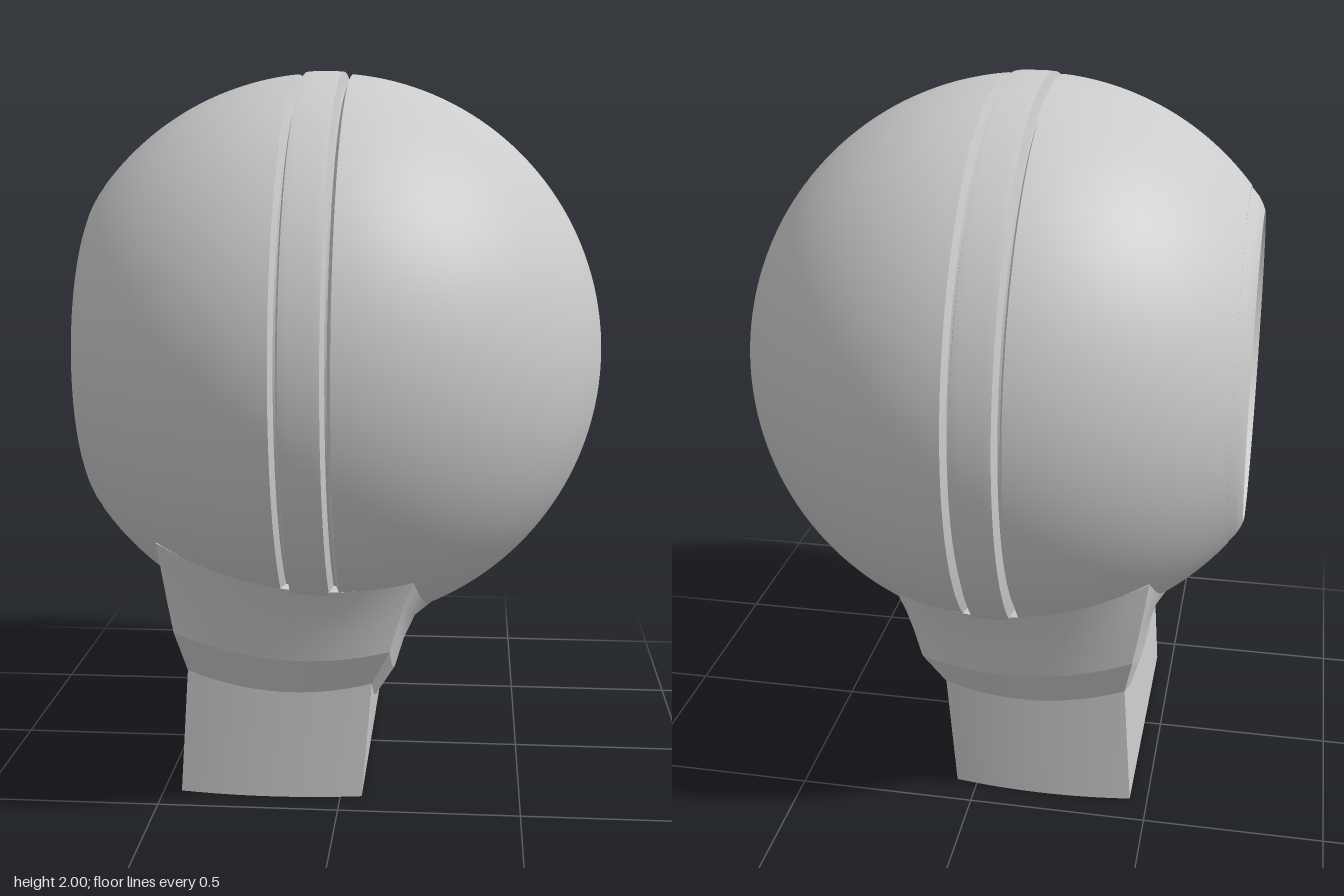
import * as THREE from 'three';
import { toCreasedNormals } from 'three/addons/utils/BufferGeometryUtils.js';

const CX = -0.07, CY = 1.205, R = 0.79;
const material = new THREE.MeshStandardMaterial({ color: 0xcccccc, side: THREE.DoubleSide });

// Surface of revolution about the x axis, from [x, radius] points
function turned(name, points) {
  const geo = new THREE.LatheGeometry(points.map(([x, r]) => new THREE.Vector2(r, x)), 128);
  geo.rotateZ(-Math.PI / 2);
  const mesh = new THREE.Mesh(geo, material);
  mesh.name = name;
  mesh.position.y = CY;
  return mesh;
}

// Points along the spherical body between two x stations
function sphereArc(x0, x1, n) {
  const a0 = Math.acos((x0 - CX) / R), a1 = Math.acos(Math.min(1, (x1 - CX) / R));
  return Array.from({ length: n + 1 }, (_, i) => {
    const a = a0 + (a1 - a0) * i / n;
    return [CX + R * Math.cos(a), Math.max(0, R * Math.sin(a))];
  });
}

// Concave dish, from its centre out to the rim
function dishArc(rimX, rimR, depth, n) {
  const rad = (rimR * rimR + depth * depth) / (2 * depth), half = Math.asin(rimR / rad);
  return Array.from({ length: n + 1 }, (_, i) => {
    const a = half * i / n;
    return [rimX + depth - rad * (1 - Math.cos(a)), rad * Math.sin(a)];
  });
}

// Four-sided ring with bowed sides: mid points of each side plus corners
const STEPS = 16;
function ring({ right, left, end, cornerR, cornerL }) {
  const v = (x, y, z) => new THREE.Vector3(x, y, z);
  const [rx, ry, rz] = cornerR, [lx, ly, lz] = cornerL;
  const corners = [v(rx, ry, rz), v(rx, ry, -rz), v(lx, ly, -lz), v(lx, ly, lz)];
  const endX = (rx + lx) / 2;
  const mids = [v(right[0], right[1], 0), v(endX, end[1], -end[0]),
    v(left[0], left[1], 0), v(endX, end[1], end[0])];
  const pts = [];
  corners.forEach((a, k) => {
    const b = corners[(k + 1) % 4];
    const bow = mids[k].clone().sub(a.clone().add(b).multiplyScalar(0.5));
    for (let i = 0; i < STEPS; i++) {
      const t = i / STEPS, s = 2 * t - 1;
      pts.push(a.clone().lerp(b, t).addScaledVector(bow, 1 - s * s));
    }
  });
  return pts;
}

// Skin between successive rings, optionally closed at the bottom
function loft(name, rings, capped) {
  const pos = [], n = rings[0].length;
  const tri = (...p) => p.forEach(q => pos.push(q.x, q.y, q.z));
  for (let k = 0; k + 1 < rings.length; k++) {
    const a = rings[k], b = rings[k + 1];
    for (let i = 0; i < n; i++) {
      const j = (i + 1) % n;
      tri(a[i], a[j], b[j]);
      tri(a[i], b[j], b[i]);
    }
  }
  if (capped) {
    const a = rings[0], c = new THREE.Vector3((a[0].x + a[2 * STEPS].x) / 2, a[0].y, 0);
    for (let i = 0; i < n; i++) tri(c, a[(i + 1) % n], a[i]);
  }
  const geo = new THREE.BufferGeometry();
  geo.setAttribute('position', new THREE.Float32BufferAttribute(pos, 3));
  const mesh = new THREE.Mesh(toCreasedNormals(geo, 0.7), material);
  mesh.name = name;
  return mesh;
}

export function createModel() {
  const model = new THREE.Group();
  model.name = 'ballOnStem';

  // Ball with a dished left end and a raised band between two grooves
  const ball = new THREE.Group();
  ball.name = 'ball';
  ball.add(
    turned('dish', dishArc(-0.72, 0.435, 0.2, 20)),
    turned('dishRim', [[-0.72, 0.435], [-0.712, 0.455], [-0.7, 0.475], [-0.68, 0.498]]),
    turned('dishSideShell', sphereArc(-0.68, -0.146, 28)),
    turned('grooveWallA', [[-0.146, 0.786], [-0.136, 0.755]]),
    turned('grooveFloorA', [[-0.136, 0.755], [-0.13, 0.755]]),
    turned('grooveWallB', [[-0.13, 0.755], [-0.121, 0.793]]),
    turned('band', [[-0.121, 0.793], [-0.1, 0.795], [-0.04, 0.795], [-0.018, 0.793]]),
    turned('grooveWallC', [[-0.018, 0.793], [-0.009, 0.755]]),
    turned('grooveFloorB', [[-0.009, 0.755], [-0.003, 0.755]]),
    turned('grooveWallD', [[-0.003, 0.755], [0.008, 0.786]]),
    turned('domeShell', sphereArc(0.008, 0.72, 40)),
  );
  model.add(ball);

  // Stem: leaning block, flared collar, then a fillet running into the ball
  const foot = ring({ right: [0.06, 0], left: [-0.45, 0], end: [0.425, 0],
    cornerR: [0.06, 0, 0.405], cornerL: [-0.45, 0, 0.405] });
  const collarLow = ring({ right: [0.085, 0.19], left: [-0.43, 0.26], end: [0.425, 0.31],
    cornerR: [0.088, 0.335], cornerL: [-0.425, 0.36], ...{ cornerR: [0.088, 0.335, 0.41], cornerL: [-0.425, 0.36, 0.41] } });
  const collarTop = ring({ right: [0.14, 0.28], left: [-0.455, 0.35], end: [0.49, 0.425],
    cornerR: [0.14, 0.45, 0.475], cornerL: [-0.45, 0.49, 0.475] });
  const filletLow = ring({ right: [0.165, 0.365], left: [-0.464, 0.43], end: [0.505, 0.5],
    cornerR: [0.162, 0.53, 0.478], cornerL: [-0.464, 0.57, 0.478] });
  const filletMid = ring({ right: [0.2, 0.44], left: [-0.49, 0.51], end: [0.525, 0.575],
    cornerR: [0.182, 0.595, 0.484], cornerL: [-0.478, 0.66, 0.483] });
  const filletTop = ring({ right: [0.26, 0.487], left: [-0.53, 0.563], end: [0.553, 0.645],
    cornerR: [0.205, 0.652, 0.492], cornerL: [-0.49, 0.745, 0.49] });
  const inside = ring({ right: [0.26, 0.56], left: [-0.5, 0.63], end: [0.5, 0.645],
    cornerR: [0.19, 0.68, 0.46], cornerL: [-0.46, 0.76, 0.46] });

  const stem = new THREE.Group();
  stem.name = 'stem';
  stem.add(
    loft('stemBlock', [foot, collarLow], true),
    loft('collar', [collarLow, collarTop]),
    loft('fillet', [collarTop, filletLow, filletMid, filletTop]),
    loft('filletSeat', [filletTop, inside]),
  );
  model.add(stem);
  return model;
}
